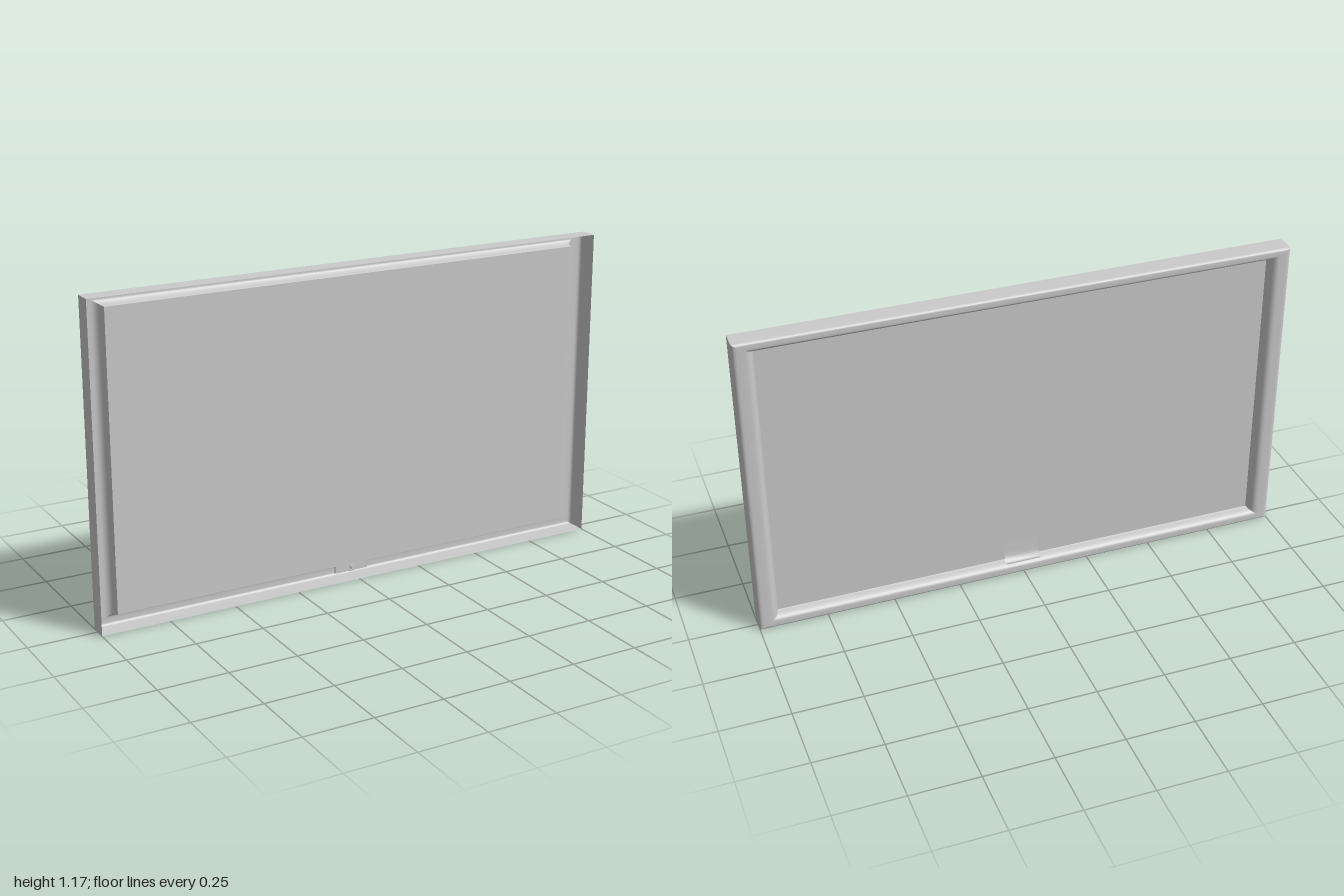
import * as THREE from 'three';

const W = 1, TOP = 1.167;            // outer half width and height
const IX = 0.075, ITOP = 0.043, IBOT = 0.048; // rim widths

const sheet = new THREE.MeshStandardMaterial({ color: 0xcccccc, side: THREE.DoubleSide });

function add(parent, name, geometry, x = 0, y = 0, z = 0) {
  const mesh = new THREE.Mesh(geometry, sheet);
  mesh.name = name;
  mesh.position.set(x, y, z);
  parent.add(mesh);
  return mesh;
}

// Surface stretched between two matching lines of points
function ribbon(lineA, lineB) {
  const pos = [], idx = [];
  lineA.forEach((a, i) => {
    pos.push(...a, ...lineB[i]);
    if (i) {
      const k = i * 2;
      idx.push(k - 2, k - 1, k + 1, k - 2, k + 1, k);
    }
  });
  const g = new THREE.BufferGeometry();
  g.setAttribute('position', new THREE.Float32BufferAttribute(pos, 3));
  g.setIndex(idx);
  g.computeVertexNormals();
  return g;
}

// Channel profile: outer wall, rounded back corner, gutter floor, lip up to the panel.
// Each entry is [share of rim width, z].
const profile = [[0, 0.039], [0, 0.036], [0, -0.027]];
for (let i = 1; i <= 5; i++) {
  const a = (i / 5) * Math.PI / 2;
  profile.push([0.2 * (1 - Math.cos(a)), -0.027 - 0.011 * Math.sin(a)]);
}
profile.push([0.4, -0.038]);
for (let i = 0; i <= 6; i++) {
  const a = (i / 6) * Math.PI / 2;
  profile.push([0.58 + 0.37 * Math.sin(a), -0.038 + 0.032 * (1 - Math.cos(a))]);
}
profile.push([1, 0]);

// Rim corner at a given profile point: 0 bottom -x, 1 bottom +x, 2 top +x, 3 top -x
function corner(k, [t, z]) {
  const x = W - IX * t;
  return [k === 1 || k === 2 ? x : -x, k < 2 ? IBOT * t : TOP - ITOP * t, z];
}

export function createModel() {
  const model = new THREE.Group();
  model.name = 'framedPanel';

  // Four mitred channel sides
  const frame = new THREE.Group();
  frame.name = 'frame';
  model.add(frame);
  ['bottomRail', 'leftStile', 'topRail', 'rightStile'].forEach((name, k) => {
    const a = profile.map(p => corner(k, p));
    const b = profile.map(p => corner((k + 1) % 4, p));
    add(frame, name, ribbon(a, b));
  });

  // Flat infill panel
  const h = TOP - ITOP - IBOT;
  add(model, 'panel', new THREE.PlaneGeometry(2 * (W - IX), h), 0, IBOT + h / 2, 0);

  // Curved cover plate on the back, running from the panel onto the bottom rail
  const bend = [[0.125, -0.003], [0.09, -0.004], [0.065, -0.005], [0.05, -0.009], [0.042, -0.022], [0.034, -0.037]];
  add(model, 'backPlate', ribbon(bend.map(([y, z]) => [0.067, y, z]), bend.map(([y, z]) => [-0.067, y, z])));

  // Latch lying in the bottom gutter
  const latch = new THREE.Group();
  latch.name = 'latch';
  model.add(latch);
  add(latch, 'latchPlate', new THREE.BoxGeometry(0.134, 0.034, 0.006), 0, 0.028, -0.024);
  const pin = add(latch, 'latchPin', new THREE.CylinderGeometry(0.006, 0.006, 0.014, 16), 0, 0.024, -0.016);
  pin.rotation.x = Math.PI / 2;
  for (const y of [0.015, 0.033]) {
    add(latch, 'latchTab', new THREE.BoxGeometry(0.022, 0.005, 0.008), 0, y, -0.018);
  }
  return model;
}
